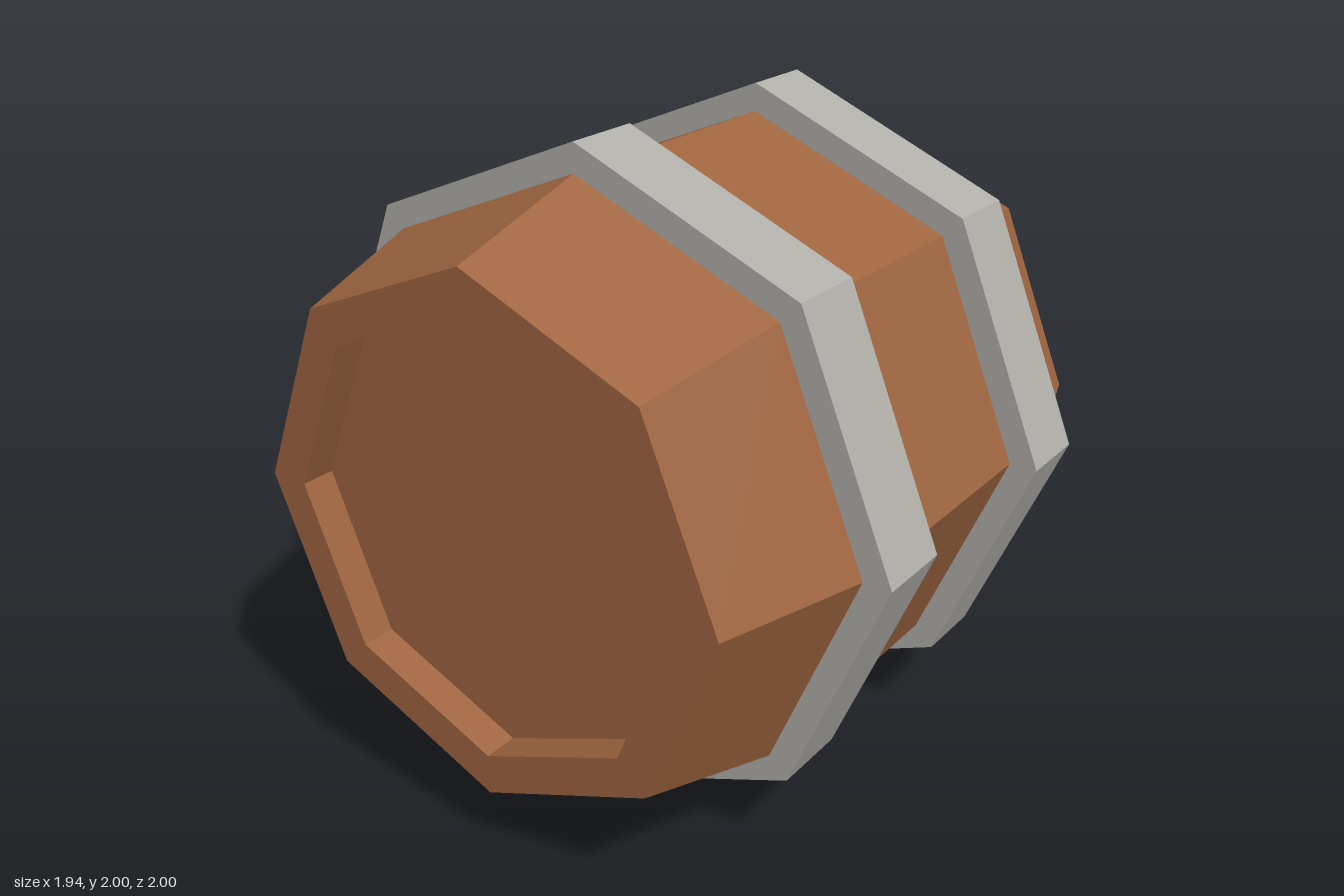
import * as THREE from 'three';

const SIDES = 8;

// Revolve a profile of [x, radius] pairs around the x axis, with faceted normals
function revolve(profile) {
  const points = profile.map(([x, r]) => new THREE.Vector2(r, x));
  const geometry = new THREE.LatheGeometry(points, SIDES).toNonIndexed();
  geometry.rotateZ(-Math.PI / 2);
  geometry.computeVertexNormals();
  return geometry;
}

export function createModel() {
  const wood = new THREE.MeshStandardMaterial({ color: 0x9f6540 });
  wood.name = 'brown wood';
  const iron = new THREE.MeshStandardMaterial({ color: 0xb0afaa });
  iron.name = 'grey iron';

  const barrel = new THREE.Group();
  barrel.name = 'barrel';
  barrel.position.y = 1;

  // Staves with tapered ends, raised rims and recessed heads
  const body = new THREE.Mesh(revolve([
    [-0.865, 0], [-0.865, 0.66], [-0.97, 0.66], [-0.97, 0.785],
    [-0.52, 0.915], [0.56, 0.915],
    [0.97, 0.785], [0.97, 0.66], [0.865, 0.66], [0.865, 0],
  ]), wood);
  body.name = 'barrelBody';
  barrel.add(body);

  // Two hoops around the body
  for (const [name, x0, x1] of [['rightHoop', -0.52, -0.28], ['leftHoop', 0.33, 0.56]]) {
    const hoop = new THREE.Mesh(revolve([[x0, 0.88], [x0, 1], [x1, 1], [x1, 0.88]]), iron);
    hoop.name = name;
    barrel.add(hoop);
  }

  const model = new THREE.Group();
  model.name = 'model';
  model.add(barrel);
  return model;
}
